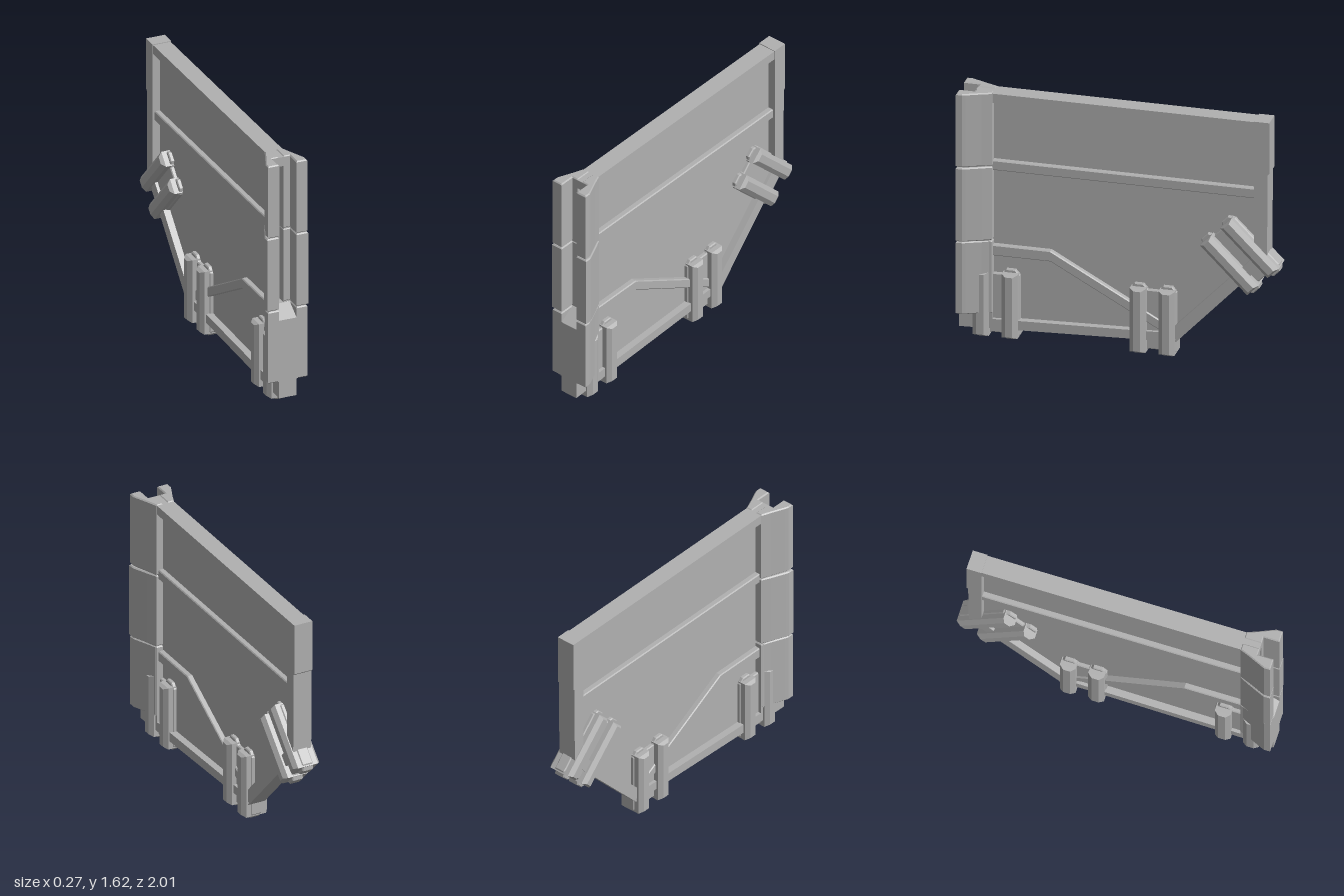
import * as THREE from 'three';

const grey = new THREE.MeshStandardMaterial({ color: 0xb0b0b0 });
grey.name = 'plain grey';

function addMesh(parent, name, geometry) {
  const flat = geometry.index ? geometry.toNonIndexed() : geometry;
  flat.computeVertexNormals();
  const mesh = new THREE.Mesh(flat, grey);
  mesh.name = name;
  parent.add(mesh);
  return mesh;
}

const toShape = (points) => new THREE.Shape(points.map(([u, v]) => new THREE.Vector2(u, v)));

// Side profile of [z, y] points, given thickness across x
function sideProfile(points, halfWidth, bevel = 0) {
  const g = new THREE.ExtrudeGeometry(toShape(points), {
    depth: 2 * (halfWidth - bevel), bevelEnabled: bevel > 0, bevelSize: bevel,
    bevelThickness: bevel, bevelOffset: -bevel, bevelSegments: 1,
  });
  return g.translate(0, 0, bevel - halfWidth).rotateY(-Math.PI / 2);
}

// Plan of [x, z] points, raised from y0 to y1 with chamfered ends
function planProfile(points, y0, y1, bevel) {
  const g = new THREE.ExtrudeGeometry(toShape(points), {
    depth: y1 - y0 - 2 * bevel, bevelEnabled: bevel > 0, bevelSize: bevel,
    bevelThickness: bevel, bevelOffset: -bevel, bevelSegments: 1,
  });
  return g.rotateX(Math.PI / 2).translate(0, y1 - bevel, 0);
}

// Bar straddling the frame, with tapered outer faces
function clampBar() {
  const g = new THREE.BoxGeometry(0.18, 0.42, 0.1, 3, 1, 1);
  const p = g.attributes.position;
  for (let i = 0; i < p.count; i++) {
    const x = p.getX(i);
    if (Math.abs(x) > 0.08) p.setXYZ(i, x, p.getY(i) * 0.94, p.getZ(i) * 0.45);
    else p.setX(i, Math.sign(x) * 0.068);
  }
  return g;
}

// Two bars joined by a notched plate
function createClamp(name) {
  const clamp = new THREE.Group();
  clamp.name = name;
  const q = [[0.035, 0.195], [0.062, 0.23], [0.118, 0.23], [0.146, 0.195]];
  const r = [...q].reverse();
  const outline = [
    ...q, ...r.map(([z, y]) => [z, -y]),
    ...q.map(([z, y]) => [-z, -y]), ...r.map(([z, y]) => [-z, y]),
  ];
  addMesh(clamp, 'clampPlate', sideProfile(outline, 0.037, 0.006));
  for (const z of [-0.09, 0.09]) addMesh(clamp, 'clampBar', clampBar()).position.z = z;
  return clamp;
}

export function createModel() {
  const model = new THREE.Group();
  model.name = 'framedPanel';

  // Thin infill panel
  addMesh(model, 'panel', sideProfile(
    [[0.85, 0.1], [0.85, 1.6], [-0.88, 1.6], [-0.88, 0.7], [-0.35, 0.14]], 0.013));

  // Frame rails, brace and rear post
  addMesh(model, 'topRail', sideProfile(
    [[0.9, 1.56], [0.9, 1.62], [-0.855, 1.62], [-0.855, 1.56]], 0.058));
  addMesh(model, 'middleRail', sideProfile(
    [[0.82, 1.11], [0.82, 1.175], [-0.87, 1.175], [-0.87, 1.11]], 0.048, 0.006));
  addMesh(model, 'brace', sideProfile(
    [[0.82, 0.545], [0.82, 0.615], [0.43, 0.615], [-0.33, 0.195], [-0.29, 0.15], [0.43, 0.545]],
    0.048, 0.006));
  addMesh(model, 'bottomBeam', sideProfile(
    [[1, 0.06], [1, 0.18], [0.79, 0.18], [0.79, 0.13], [-0.34, 0.165], [-0.36, 0.11]], 0.058));
  addMesh(model, 'slantedBeam', sideProfile(
    [[-0.36, 0.11], [-0.93, 0.71], [-0.86, 0.74], [-0.33, 0.19]], 0.056));
  addMesh(model, 'rearPost', sideProfile(
    [[-0.85, 1.625], [-0.945, 1.625], [-0.945, 1.29], [-0.935, 1.28], [-0.93, 0.71], [-0.85, 0.71]],
    0.062));

  // Flared front column, three stacked sections on each side of a slot
  const wing = (side, grow) => [
    [0.016, 0.79], [0.06, 0.79], [0.083 + grow, 0.85], [0.122 + grow, 0.94],
    [0.13 + grow, 0.96], [0.13 + grow, 1], [0.058, 1], [0.058, 0.9], [0.016, 0.9],
  ].map(([x, z]) => [x * side, z]);
  const sections = [
    ['lowerWing', 0.17, 0.648, 0],
    ['middleWing', 0.652, 1.138, 0.006],
    ['upperWing', 1.142, 1.625, 0],
  ];
  for (const side of [-1, 1]) {
    for (const [name, y0, y1, grow] of sections) {
      addMesh(model, name, planProfile(wing(side, grow), y0, y1, 0.007));
    }
    // Slightly recessed core closing the seams
    const core = [[0.018, 0.8], [0.058, 0.8], [0.115, 0.95], [0.115, 0.985],
      [0.065, 0.985], [0.065, 0.895], [0.018, 0.895]].map(([x, z]) => [x * side, z]);
    addMesh(model, 'wingCore', planProfile(core, 0.6, 1.2, 0));
  }
  // Solid foot of the column with a sloping slot floor
  addMesh(model, 'columnFoot', sideProfile(
    [[0.8, 0.172], [1, 0.172], [1, 0.58], [0.9, 0.645], [0.8, 0.645]], 0.066));

  // Clamps: two upright on the bottom beam, one across the slanted corner
  const clamps = [
    ['frontClamp', 0.23, 0.77, 0],
    ['middleClamp', 0.23, -0.212, 0],
    ['rearClamp', 0.722, -0.758, Math.PI / 4],
  ];
  for (const [name, y, z, tilt] of clamps) {
    const clamp = createClamp(name);
    clamp.position.set(0, y, z);
    clamp.rotation.x = tilt;
    model.add(clamp);
  }
  return model;
}
